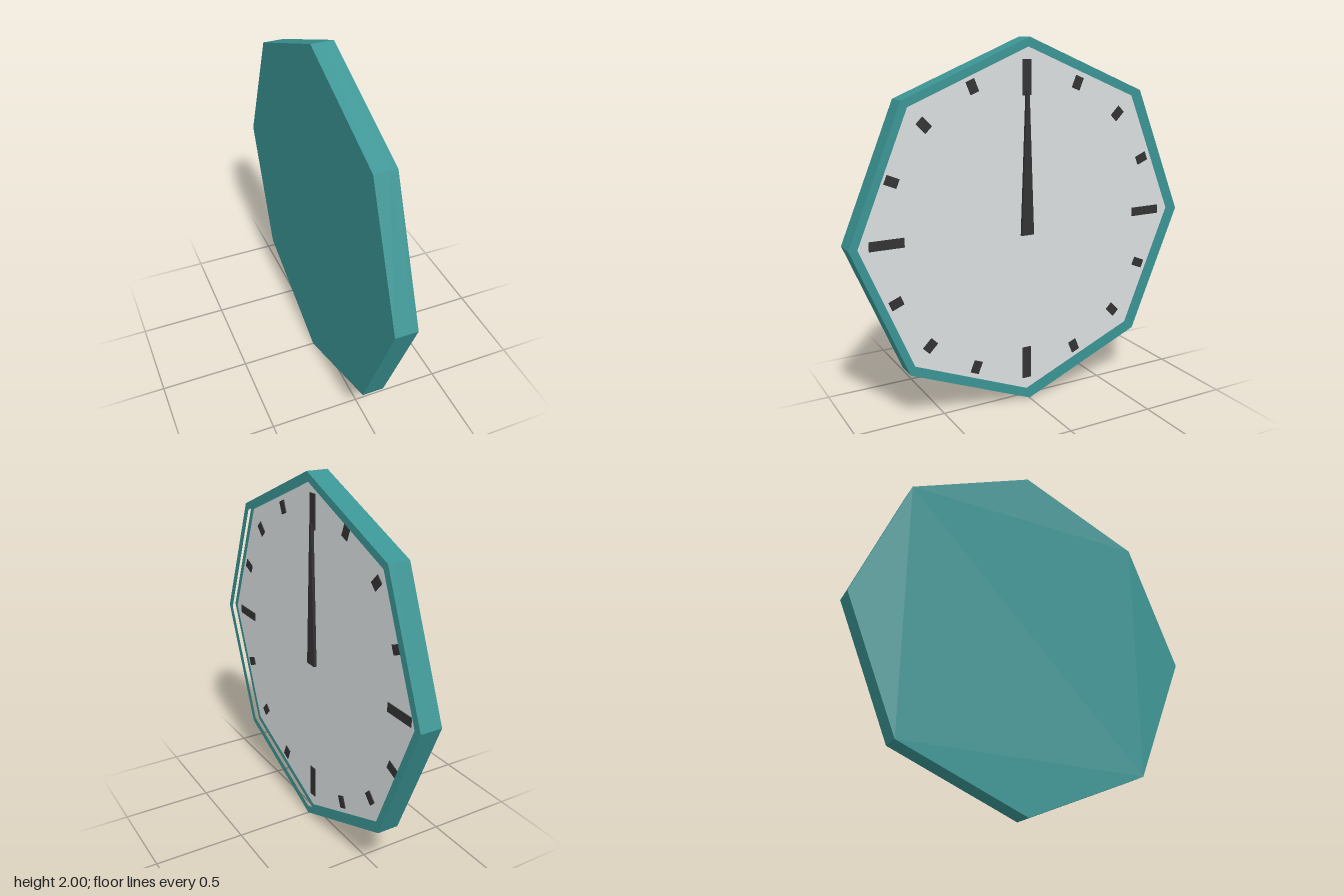
import * as THREE from 'three';

const teal = new THREE.MeshStandardMaterial({ color: 0x3a9494 });
teal.name = 'teal casing';
const pale = new THREE.MeshStandardMaterial({ color: 0xdadede });
pale.name = 'pale dial';
const dark = new THREE.MeshStandardMaterial({ color: 0x323232 });
dark.name = 'dark markings';

const BACK = -0.06, BED = 0.02, DIAL = 0.025, MARK = 0.03, HAND = 0.042, FRONT = 0.06;

// Octagon corners with one corner pointing straight up
function octagon(radius) {
  return Array.from({ length: 8 }, (_, i) => {
    const a = i * Math.PI / 4;
    return new THREE.Vector2(Math.sin(a) * radius, Math.cos(a) * radius);
  });
}

// Extrudes a shape between two depths
function slab(name, shape, from, to, material) {
  const geometry = new THREE.ExtrudeGeometry(shape, { depth: to - from, bevelEnabled: false });
  geometry.translate(0, 0, from);
  const mesh = new THREE.Mesh(geometry, material);
  mesh.name = name;
  return mesh;
}

export function createModel() {
  const model = new THREE.Group();
  model.name = 'wallClock';

  // Casing: solid back and raised rim
  model.add(slab('casingBack', new THREE.Shape(octagon(1)), BACK, BED, teal));
  const ring = new THREE.Shape(octagon(1));
  ring.holes.push(new THREE.Path(octagon(0.955)));
  model.add(slab('rim', ring, BED, FRONT, teal));

  // Recessed dial
  model.add(slab('dial', new THREE.Shape(octagon(0.955)), BED, DIAL, pale));

  // Sixteen marks, longer at the quarters
  const marks = new THREE.Group();
  marks.name = 'hourMarks';
  for (let i = 0; i < 16; i++) {
    const quarter = i % 4 === 0;
    const length = quarter ? 0.185 : 0.07;
    const radius = quarter ? 0.795 : 0.82;
    const angle = i * Math.PI / 8;
    const mark = new THREE.Mesh(new THREE.BoxGeometry(0.05, length, MARK - DIAL), dark);
    mark.name = quarter ? 'quarterMark' : 'smallMark';
    mark.position.set(Math.sin(angle) * radius, Math.cos(angle) * radius, (MARK + DIAL) / 2);
    mark.rotation.z = -angle;
    marks.add(mark);
  }
  model.add(marks);

  // Tapered hand pointing up
  const hand = new THREE.Shape([
    new THREE.Vector2(-0.037, -0.048), new THREE.Vector2(0.037, -0.048),
    new THREE.Vector2(0.008, 0.73), new THREE.Vector2(-0.008, 0.73),
  ]);
  model.add(slab('hand', hand, DIAL, HAND, dark));

  // Dial faces +x, standing on the ground
  model.rotation.y = Math.PI / 2;
  model.position.y = 1;
  const root = new THREE.Group();
  root.name = 'clock';
  root.add(model);
  return root;
}
